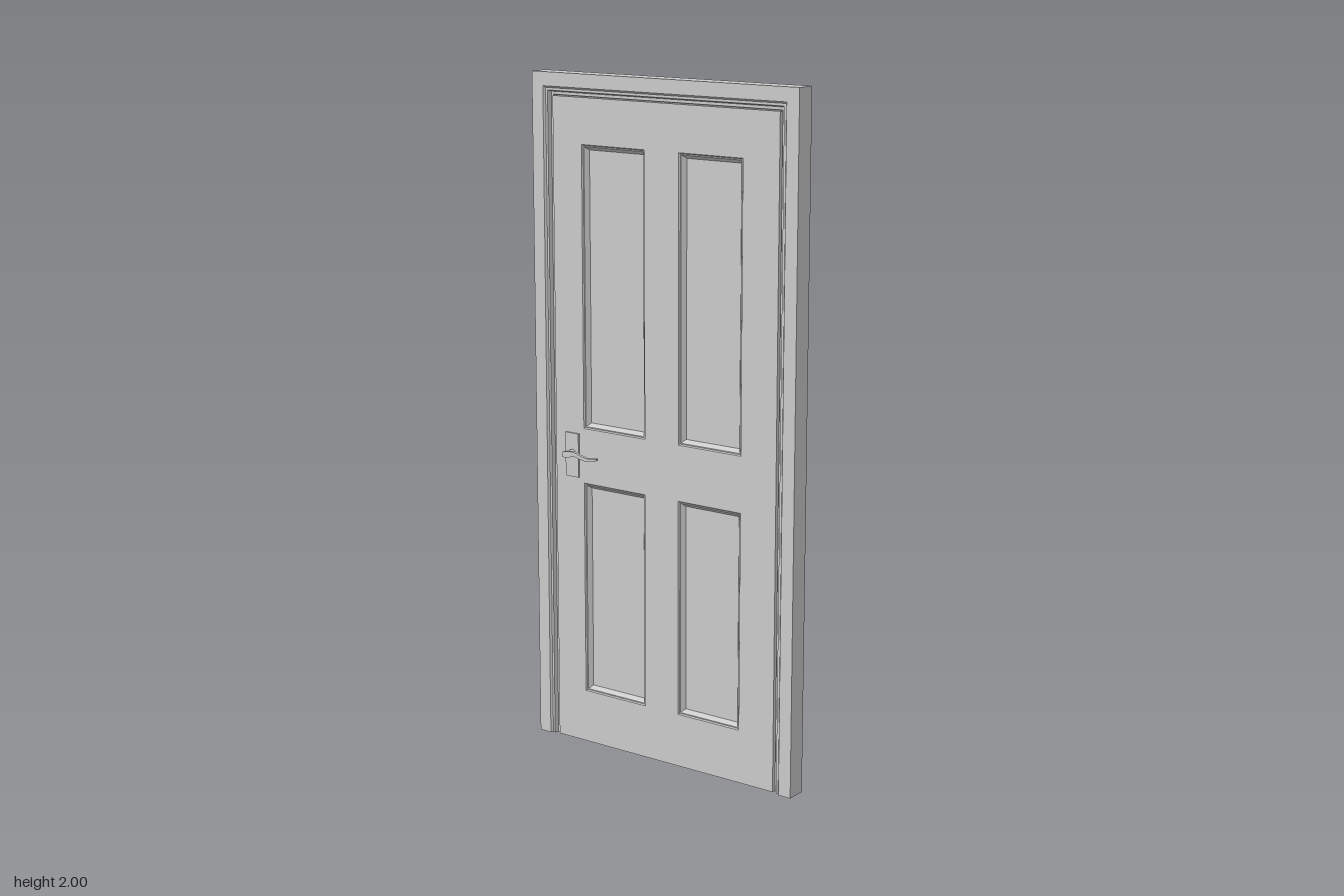
import * as THREE from 'three';

const W = 0.458, H = 2, LEAF_Z = 0.02;
const grey = new THREE.MeshStandardMaterial({ color: 0xcccccc, flatShading: true });
const greyOpen = new THREE.MeshStandardMaterial({ color: 0xcccccc, flatShading: true, side: THREE.DoubleSide });

// Skin between successive rows of points
function loft(rows) {
  const pos = [];
  for (let j = 0; j < rows.length - 1; j++) {
    for (let i = 0; i < rows[j].length - 1; i++) {
      const a = rows[j][i], b = rows[j + 1][i], c = rows[j + 1][i + 1], d = rows[j][i + 1];
      pos.push(...a, ...b, ...c, ...a, ...c, ...d);
    }
  }
  const g = new THREE.BufferGeometry();
  g.setAttribute('position', new THREE.Float32BufferAttribute(pos, 3));
  g.computeVertexNormals();
  return g;
}

// Front profile of [inset, z] continued round the back
const bothFaces = (front) => [...front, ...front.map(([d, z]) => [d, -z]).reverse()];

function add(parent, name, geometry, x = 0, y = 0, z = 0, material = grey) {
  const m = new THREE.Mesh(geometry, material);
  m.name = name;
  m.position.set(x, y, z);
  parent.add(m);
  return m;
}

const box = (w, h, d) => new THREE.BoxGeometry(w, h, d);

// Lever: a wavy tapering bar, cut from a smooth outline
function leverGeometry(depth) {
  const s = new THREE.Shape();
  s.moveTo(-0.335, 0.885);
  s.lineTo(-0.335, 0.901);
  s.splineThru([[-0.318, 0.904], [-0.295, 0.905], [-0.27, 0.898], [-0.245, 0.893], [-0.21, 0.897]]
    .map(([x, y]) => new THREE.Vector2(x, y)));
  s.lineTo(-0.21, 0.891);
  s.splineThru([[-0.245, 0.884], [-0.27, 0.887], [-0.295, 0.892], [-0.315, 0.886], [-0.335, 0.885]]
    .map(([x, y]) => new THREE.Vector2(x, y)));
  return new THREE.ExtrudeGeometry(s, { depth, bevelEnabled: false, curveSegments: 16 }).translate(0, 0, -depth / 2);
}

export function createModel() {
  const door = new THREE.Group();
  door.name = 'door';

  // Stepped frame, mitred at the top corners and open underneath
  const frameProfile = bothFaces([
    [0, 0.03], [0.04, 0.03], [0.045, 0.024], [0.052, 0.024], [0.056, 0.012], [0.064, 0.012], [0.066, 0.006],
  ]);
  frameProfile.push(frameProfile[0]);
  add(door, 'frame', loft(frameProfile.map(([d, z]) => {
    const x = W - d, y = H - d;
    return [[-x, 0, z], [-x, y, z], [x, y, z], [x, 0, z]];
  })), 0, 0, 0, greyOpen);

  // Panel openings: left, right, bottom, top
  const openings = [];
  for (const [x0, x1] of [[-0.287, -0.063], [0.056, 0.272]]) {
    for (const [y0, y1] of [[0.16, 0.805], [0.97, 1.8]]) openings.push([x0, x1, y0, y1]);
  }

  // Leaf with four openings
  const leafX = W - 0.067, leafTop = H - 0.067;
  const leaf = new THREE.Shape();
  leaf.moveTo(-leafX, 0).lineTo(leafX, 0).lineTo(leafX, leafTop).lineTo(-leafX, leafTop).closePath();
  for (const [x0, x1, y0, y1] of openings) {
    const hole = new THREE.Path();
    hole.moveTo(x0, y0).lineTo(x0, y1).lineTo(x1, y1).lineTo(x1, y0).closePath();
    leaf.holes.push(hole);
  }
  add(door, 'leaf', new THREE.ExtrudeGeometry(leaf, { depth: 2 * LEAF_Z, bevelEnabled: false }), 0, 0, -LEAF_Z);

  // Sunk panels with a bevelled moulding round each
  const moulding = bothFaces([[0, LEAF_Z], [0.003, 0.016], [0.006, 0.016], [0.016, 0.003]]);
  for (const [x0, x1, y0, y1] of openings) {
    add(door, 'panelMoulding', loft(moulding.map(([d, z]) => {
      const l = x0 + d, r = x1 - d, b = y0 + d, t = y1 - d;
      return [[l, b, z], [l, t, z], [r, t, z], [r, b, z], [l, b, z]];
    })));
    add(door, 'panel', box(x1 - x0 - 0.03, y1 - y0 - 0.03, 0.006), (x0 + x1) / 2, (y0 + y1) / 2, 0);
  }

  // Handle on each face
  for (const side of [1, -1]) {
    const handle = new THREE.Group();
    handle.name = side > 0 ? 'frontHandle' : 'backHandle';
    add(handle, 'backplate', box(0.048, 0.132, 0.006), -0.328, 0.886, side * 0.0225);
    const shaft = new THREE.CylinderGeometry(0.0095, 0.0095, 0.036, 12).rotateX(Math.PI / 2);
    add(handle, 'shaft', shaft, -0.3245, 0.894, side * 0.038);
    add(handle, 'lever', leverGeometry(0.01), 0, 0, side * 0.056);
    door.add(handle);
  }
  return door;
}
